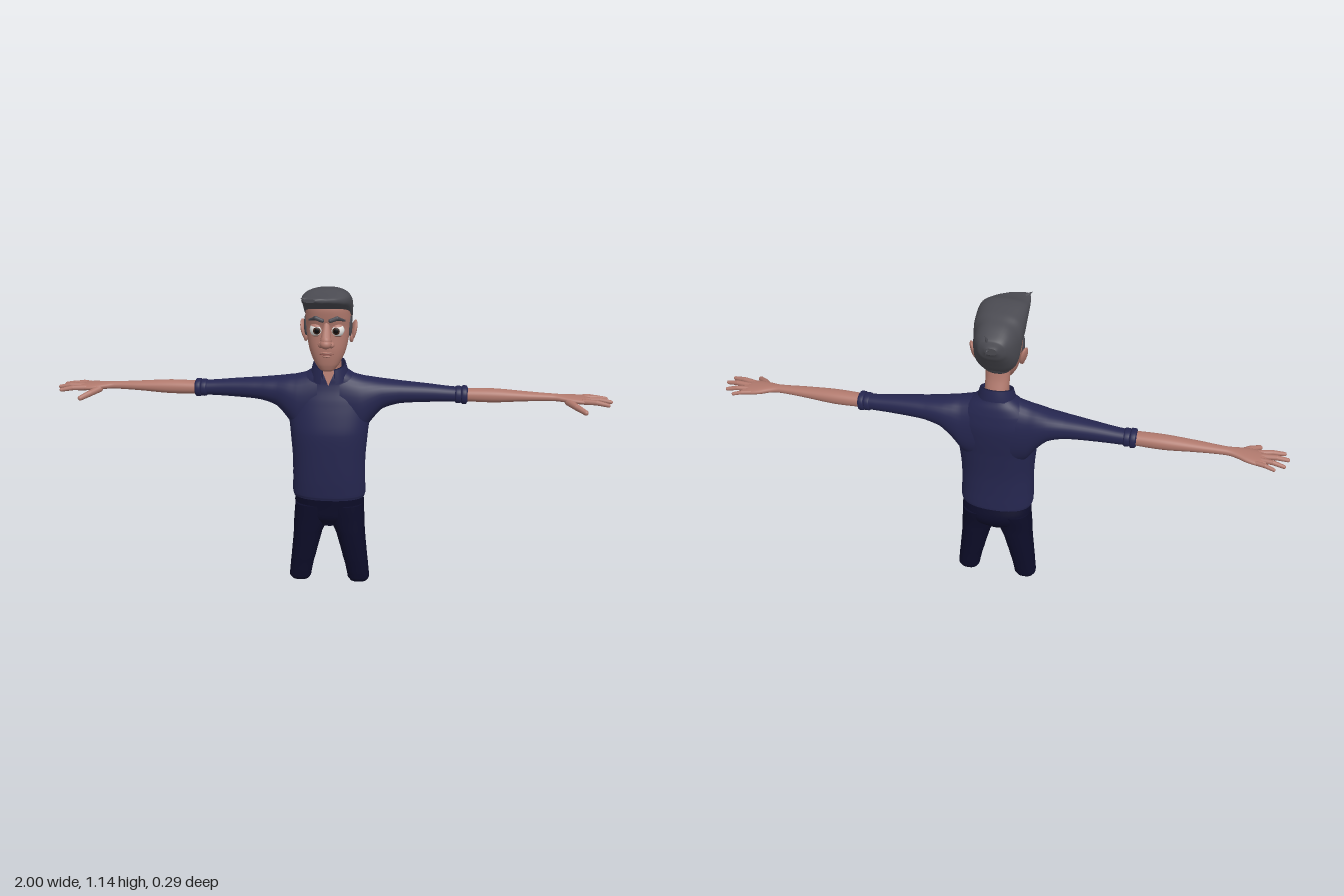
import * as THREE from 'three';
import { mergeGeometries } from 'three/addons/utils/BufferGeometryUtils.js';

const mat = (name, color, side = THREE.FrontSide) => {
  const m = new THREE.MeshStandardMaterial({ color, side });
  m.name = name;
  return m;
};

// Smooth loft along an axis. Each section: [t, aMin, aMax, bMin, bMax],
// with (a, b) = (z, x) for y, (y, z) for x and (x, y) for z.
function loft(axis, sections, power = 2.2, seg = 32, steps = 5) {
  const place = {
    x: (t, a, b) => [t, a, b],
    y: (t, a, b) => [b, t, a],
    z: (t, a, b) => [a, b, t],
  }[axis];
  const at = (i) => sections[Math.min(Math.max(i, 0), sections.length - 1)];
  const rows = [];
  for (let i = 0; i < sections.length - 1; i++) {
    for (let s = 0; s < steps; s++) {
      const u = s / steps;
      rows.push(at(i).map((v, k) => {
        const p1 = at(i + 1)[k];
        if (k === 0) return v + (p1 - v) * u;
        const m0 = (p1 - at(i - 1)[k]) / 2, m1 = (at(i + 2)[k] - v) / 2;
        const d = p1 - v;
        return v + m0 * u + (3 * d - 2 * m0 - m1) * u * u + (m0 + m1 - 2 * d) * u * u * u;
      }));
    }
  }
  rows.push(at(sections.length - 1));
  const pos = [], idx = [];
  const ring = ([t, a0, a1, b0, b1]) => {
    for (let j = 0; j < seg; j++) {
      const w = (j / seg) * Math.PI * 2, c = Math.cos(w), s = Math.sin(w);
      const f = (v) => Math.sign(v) * Math.abs(v) ** (2 / power);
      pos.push(...place(t, (a0 + a1) / 2 + f(c) * (a1 - a0) / 2, (b0 + b1) / 2 + f(s) * (b1 - b0) / 2));
    }
  };
  rows.forEach(ring);
  for (let i = 0; i < rows.length - 1; i++) {
    for (let j = 0; j < seg; j++) {
      const a = i * seg + j, b = i * seg + (j + 1) % seg;
      idx.push(a, b, b + seg, a, b + seg, a + seg);
    }
  }
  // End caps with their own vertices, so the rims stay crisp
  [rows[0], rows[rows.length - 1]].forEach((r, end) => {
    const start = pos.length / 3;
    ring(r);
    pos.push(...place(r[0], (r[1] + r[2]) / 2, (r[3] + r[4]) / 2));
    for (let j = 0; j < seg; j++) {
      const a = start + j, b = start + (j + 1) % seg;
      idx.push(start + seg, ...(end ? [a, b] : [b, a]));
    }
  });
  const g = new THREE.BufferGeometry();
  g.setAttribute('position', new THREE.Float32BufferAttribute(pos, 3));
  g.setIndex(idx);
  g.computeVertexNormals();
  return g;
}

// Tapered limb with round ends
function bone(a, b, r0, r1) {
  const A = new THREE.Vector3(...a), B = new THREE.Vector3(...b), d = B.clone().sub(A);
  const c = new THREE.CylinderGeometry(r1, r0, d.length(), 12, 1, true);
  c.applyQuaternion(new THREE.Quaternion().setFromUnitVectors(new THREE.Vector3(0, 1, 0), d.clone().normalize()));
  c.translate(...A.clone().add(B).multiplyScalar(0.5).toArray());
  return mergeGeometries([c, ball(a, [r0, r0, r0]), ball(b, [r1, r1, r1])]);
}

function ball(center, size) {
  return new THREE.SphereGeometry(1, 20, 14).scale(...size).translate(...center);
}

// Part of a sphere around the +z direction, for iris, pupil and lids
function cap(center, r, angle, tilt = 0) {
  return new THREE.SphereGeometry(r, 24, 10, 0, Math.PI * 2, 0, angle).rotateX(Math.PI / 2 - tilt).translate(...center);
}

function mirrored(geometry) {
  const g = geometry.clone().scale(-1, 1, 1);
  const i = g.index.array;
  for (let k = 0; k < i.length; k += 3) [i[k], i[k + 1]] = [i[k + 1], i[k]];
  return g;
}

// Folded collar, open at the front
function collarGeometry() {
  const n = 40, pos = [], idx = [];
  for (let i = 0; i <= n; i++) {
    const w = (i / n * 2 - 1) * 2.75, f = (1 - Math.cos(w)) / 2;
    const point = (rx, rz, y) => pos.push(Math.sin(w) * rx, y, -0.046 - Math.cos(w) * rz);
    point(0.05, 0.045, 0.82 - f * 0.03);
    point(0.052, 0.047, 0.866 - f * 0.032);
    point(0.058, 0.053, 0.864 - f * 0.034);
    point(0.07, 0.06, 0.825 - f * 0.045);
  }
  for (let i = 0; i < n; i++) {
    for (let k = 0; k < 3; k++) {
      const a = i * 4 + k, b = a + 4;
      idx.push(a, a + 1, b, b, a + 1, b + 1);
    }
  }
  const g = new THREE.BufferGeometry();
  g.setAttribute('position', new THREE.Float32BufferAttribute(pos, 3));
  g.setIndex(idx);
  g.computeVertexNormals();
  return g;
}

export function createModel() {
  const model = new THREE.Group();
  const skin = mat('skin', 0xb0796d), shirt = mat('shirt navy', 0x25264f, THREE.DoubleSide);
  const trousers = mat('trouser navy', 0x0d0d29), hair = mat('hair grey', 0x4a4a51);
  const white = mat('eye white', 0xe8e8e6), brown = mat('iris brown', 0x3a2218);
  const black = mat('pupil black', 0x08080a), lip = mat('lip', 0x7c4a44);
  const add = (name, geometry, material) => {
    const m = new THREE.Mesh(geometry, material);
    m.name = name;
    model.add(m);
  };
  const pair = (name, geometry, material) => {
    add('left' + name, geometry, material);
    add('right' + name, mirrored(geometry), material);
  };

  // Trousers
  add('hips', loft('y', [
    [0.235, -0.08, 0, -0.045, 0.045], [0.27, -0.112, 0.018, -0.115, 0.115],
    [0.31, -0.124, 0.024, -0.128, 0.128], [0.365, -0.112, 0.032, -0.124, 0.124]]), trousers);
  pair('Leg', loft('y', [
    [0, -0.074, -0.02, 0.078, 0.142], [0.012, -0.08, -0.012, 0.07, 0.15], [0.04, -0.084, -0.006, 0.065, 0.148],
    [0.1, -0.09, 0.003, 0.051, 0.142], [0.2, -0.1, 0.014, 0.026, 0.133],
    [0.25, -0.105, 0.018, 0.006, 0.131], [0.32, -0.118, 0.024, -0.01, 0.126]], 2.4), trousers);

  // Shirt
  add('shirtBody', loft('y', [
    [0.35, -0.117, 0.038, -0.13, 0.13], [0.362, -0.117, 0.042, -0.133, 0.133], [0.42, -0.114, 0.046, -0.132, 0.132],
    [0.5, -0.113, 0.048, -0.132, 0.132], [0.6, -0.12, 0.047, -0.14, 0.14], [0.66, -0.127, 0.034, -0.146, 0.146],
    [0.72, -0.13, 0.017, -0.146, 0.146], [0.77, -0.122, 0.001, -0.125, 0.125],
    [0.8, -0.113, -0.004, -0.095, 0.095], [0.83, -0.1, -0.012, -0.055, 0.055]], 2.3, 48), shirt);
  pair('Sleeve', loft('x', [
    [0.04, 0.55, 0.822, -0.122, 0.012], [0.11, 0.575, 0.802, -0.125, 0.012], [0.15, 0.635, 0.794, -0.125, 0.003],
    [0.19, 0.68, 0.787, -0.122, -0.01], [0.25, 0.7, 0.78, -0.115, -0.022], [0.35, 0.706, 0.771, -0.108, -0.037],
    [0.44, 0.708, 0.762, -0.104, -0.046], [0.48, 0.709, 0.76, -0.103, -0.046]]), shirt);
  for (const [name, x, w] of [['InnerCuff', 0.447, 0], ['OuterCuff', 0.468, 0.002]]) {
    pair(name, loft('x', [
      [x, 0.708, 0.761, -0.103, -0.046], [x + 0.004, 0.704 - w, 0.764 + w, -0.107 - w, -0.042 + w],
      [x + 0.019, 0.704 - w, 0.764 + w, -0.107 - w, -0.042 + w], [x + 0.023, 0.708, 0.761, -0.103, -0.046]]), shirt);
  }
  add('collar', collarGeometry(), shirt);
  const vee = new THREE.Shape([[-0.024, 0.055], [0, 0], [0.024, 0.055]].map((p) => new THREE.Vector2(...p)));
  add('openNeckline', new THREE.ExtrudeGeometry(vee, { depth: 0.006, bevelEnabled: false })
    .rotateX(-0.22).translate(0, 0.775, -0.002), skin);

  // Arms and hands
  pair('Arm', loft('x', [
    [0.46, 0.712, 0.757, -0.1, -0.048], [0.58, 0.71, 0.759, -0.102, -0.046], [0.7, 0.718, 0.752, -0.095, -0.05],
    [0.79, 0.721, 0.747, -0.09, -0.056], [0.82, 0.72, 0.745, -0.096, -0.05], [0.86, 0.716, 0.742, -0.112, -0.04],
    [0.9, 0.715, 0.738, -0.118, -0.04], [0.922, 0.72, 0.734, -0.108, -0.05]]), skin);
  const fingers = [
    ['Thumb', [0.845, 0.724, -0.052], [0.87, 0.716, -0.022], [0.9, 0.705, 0.007], 0.013],
    ['IndexFinger', [0.895, 0.727, -0.051], [0.94, 0.728, -0.041], [0.981, 0.722, -0.032], 0.01],
    ['MiddleFinger', [0.905, 0.728, -0.071], [0.955, 0.73, -0.068], [0.993, 0.724, -0.065], 0.01],
    ['RingFinger', [0.9, 0.728, -0.091], [0.945, 0.73, -0.098], [0.981, 0.724, -0.104], 0.0095],
    ['LittleFinger', [0.885, 0.727, -0.107], [0.92, 0.728, -0.118], [0.949, 0.723, -0.127], 0.0085]];
  for (const [name, a, b, c, r] of fingers) {
    pair(name, mergeGeometries([bone(a, b, r, r * 0.9), bone(b, c, r * 0.9, r * 0.7)]), skin);
  }

  // Neck, head and ears
  add('neck', loft('y', [
    [0.79, -0.09, -0.012, -0.043, 0.043], [0.84, -0.084, -0.01, -0.042, 0.042],
    [0.89, -0.066, 0, -0.042, 0.042], [0.95, -0.055, 0.02, -0.045, 0.045]]), skin);
  add('head', loft('y', [
    [0.843, 0.018, 0.052, -0.018, 0.018], [0.85, 0.008, 0.061, -0.028, 0.028], [0.87, -0.012, 0.068, -0.043, 0.043],
    [0.9, -0.036, 0.072, -0.058, 0.058], [0.93, -0.052, 0.073, -0.067, 0.067], [0.97, -0.066, 0.069, -0.074, 0.074],
    [1.0, -0.08, 0.067, -0.078, 0.078], [1.035, -0.085, 0.075, -0.079, 0.079],
    [1.075, -0.08, 0.077, -0.074, 0.074], [1.105, -0.05, 0.055, -0.05, 0.05]], 2.4, 40), skin);
  pair('Ear', mergeGeometries([
    ball([0, 0, 0], [0.009, 0.036, 0.022]).rotateZ(-0.25).rotateX(-0.15).rotateY(0.35).translate(0.087, 0.975, -0.024),
    ball([0.08, 0.95, -0.012], [0.008, 0.016, 0.01])]), skin);
  add('nose', mergeGeometries([
    bone([0, 1.015, 0.062], [0, 0.963, 0.092], 0.011, 0.019),
    ball([0, 0.953, 0.096], [0.021, 0.017, 0.022]),
    ball([0.017, 0.946, 0.079], [0.012, 0.011, 0.014]), ball([-0.017, 0.946, 0.079], [0.012, 0.011, 0.014])]), skin);
  add('lips', mergeGeometries([
    ball([0, 0.915, 0.062], [0.026, 0.005, 0.016]), ball([0, 0.903, 0.062], [0.02, 0.006, 0.015])]), skin);
  add('mouthLine', ball([0, 0.9095, 0.06], [0.03, 0.003, 0.019]), lip);

  // Eyes and brows
  const eye = [0.034, 0.992, 0.046];
  pair('Eye', ball(eye, [0.026, 0.026, 0.026]), white);
  pair('Iris', cap([0.033, 0.992, 0.046], 0.0265, 0.5), brown);
  pair('Pupil', cap([0.033, 0.992, 0.046], 0.027, 0.3), black);
  pair('UpperLid', cap(eye, 0.0285, 0.85, 1.35), skin);
  pair('LowerLid', cap(eye, 0.028, 0.7, -1.35), skin);
  pair('Brow', mergeGeometries([
    bone([0.014, 1.029, 0.074], [0.036, 1.037, 0.07], 0.007, 0.008),
    bone([0.036, 1.037, 0.07], [0.06, 1.026, 0.05], 0.008, 0.004)]), hair);

  // Hair swept forward into a quiff
  add('hair', loft('z', [
    [-0.136, -0.02, 0.02, 1.035, 1.06], [-0.125, -0.046, 0.046, 1.01, 1.083], [-0.1, -0.064, 0.064, 0.972, 1.098],
    [-0.075, -0.074, 0.074, 0.935, 1.11], [-0.05, -0.08, 0.08, 0.922, 1.118], [-0.025, -0.084, 0.084, 0.985, 1.126],
    [0, -0.086, 0.086, 1.003, 1.131], [0.03, -0.086, 0.085, 1.035, 1.135], [0.06, -0.085, 0.08, 1.06, 1.135],
    [0.09, -0.083, 0.065, 1.077, 1.127], [0.115, -0.08, 0.04, 1.091, 1.122],
    [0.135, -0.076, 0.005, 1.1, 1.12], [0.145, -0.07, -0.03, 1.106, 1.118]], 2.5, 40), hair);
  add('napeHair', ball([0, 0.955, -0.05], [0.058, 0.048, 0.022]), hair);
  pair('Sideburn', ball([0.076, 0.998, 0.008], [0.008, 0.038, 0.014]), hair);
  add('quiffTip', bone([-0.06, 1.112, 0.13], [-0.078, 1.122, 0.145], 0.009, 0.001), hair);
  add('crownTuft', mergeGeometries([
    bone([0.01, 1.05, -0.13], [0.012, 1.053, -0.143], 0.006, 0.004),
    bone([0.012, 1.053, -0.143], [0.014, 1.04, -0.147], 0.004, 0.001),
    bone([0.015, 1.075, -0.12], [0.02, 1.098, -0.128], 0.008, 0.001)]), hair);
  return model;
}
